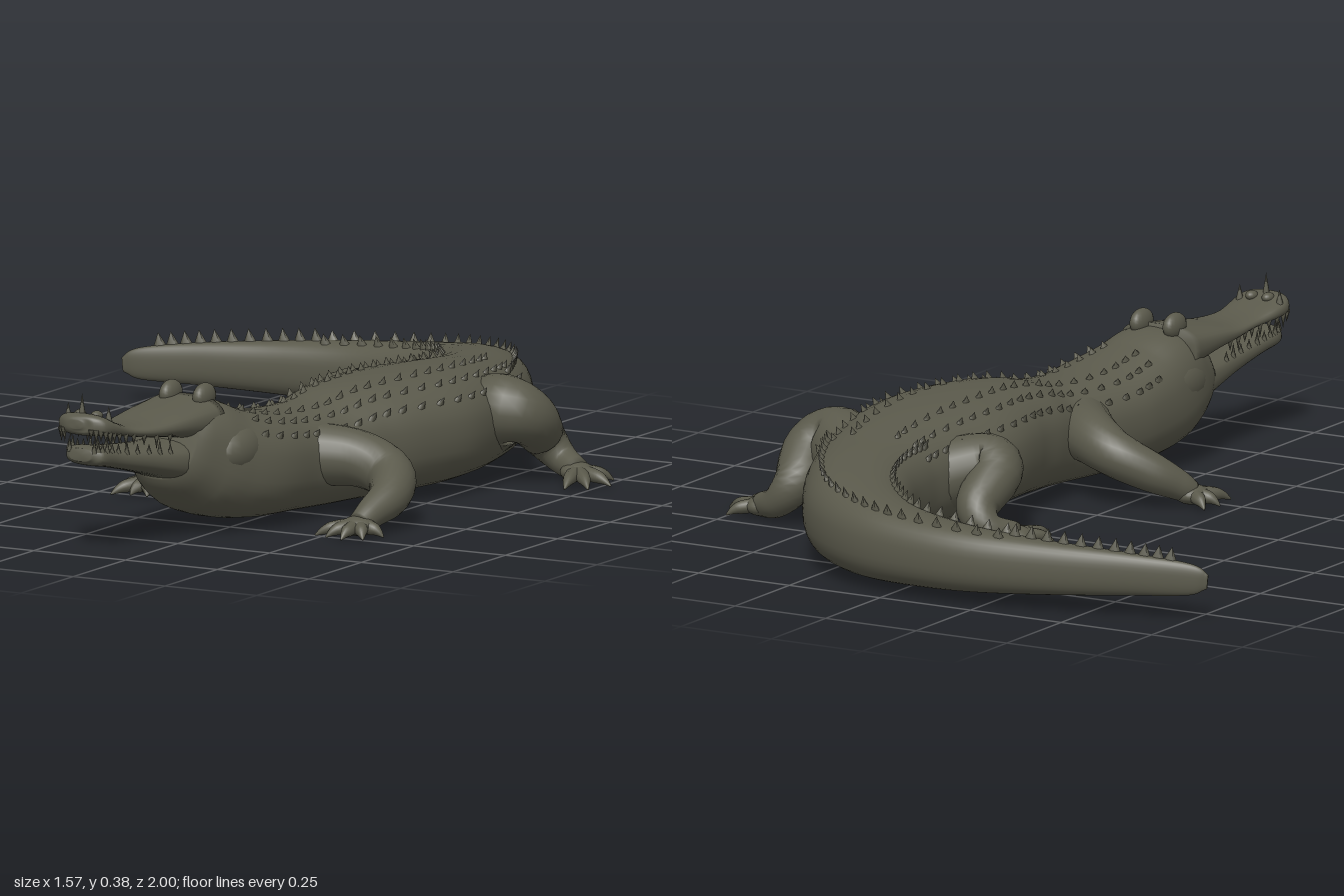
import * as THREE from 'three';
import { mergeGeometries } from 'three/addons/utils/BufferGeometryUtils.js';

const hide = new THREE.MeshStandardMaterial({ color: 0x5a594b });
hide.name = 'olive hide';
const Y = new THREE.Vector3(0, 1, 0);

// Smooth surface through stations [x, y, z, halfWidth, halfHeight]; t runs 0..1 along it, a around it
function makeSurface(stations, power = 1) {
  const spine = new THREE.CatmullRomCurve3(stations.map(s => new THREE.Vector3(s[0], s[1], s[2])), false, 'catmullrom', 0.5);
  const sizes = new THREE.CatmullRomCurve3(stations.map(s => new THREE.Vector3(s[3], s[4], 0)), false, 'catmullrom', 0.5);
  const bend = v => Math.sign(v) * Math.abs(v) ** power;
  return (t, a) => {
    const centre = spine.getPoint(t), size = sizes.getPoint(t), along = spine.getTangent(t);
    const side = new THREE.Vector3().crossVectors(along, Y).normalize();
    const up = new THREE.Vector3().crossVectors(side, along);
    const point = centre.clone()
      .addScaledVector(side, Math.max(size.x, 0.002) * bend(Math.cos(a)))
      .addScaledVector(up, Math.max(size.y, 0.002) * bend(Math.sin(a)));
    return { point, centre, along, side, up };
  };
}

// Closed skin over a surface
function loft(surface, rings, sides) {
  const pos = [], idx = [];
  for (let i = 0; i <= rings; i++)
    for (let j = 0; j < sides; j++) pos.push(...surface(i / rings, j / sides * Math.PI * 2).point.toArray());
  const start = pos.length / 3;
  pos.push(...surface(0, 0).centre.toArray(), ...surface(1, 0).centre.toArray());
  for (let j = 0; j < sides; j++) {
    const k = (j + 1) % sides, last = rings * sides;
    for (let i = 0; i < rings; i++) {
      const a = i * sides + j, b = i * sides + k;
      idx.push(a, a + sides, b, b, a + sides, b + sides);
    }
    idx.push(start, j, k, start + 1, last + k, last + j);
  }
  const g = new THREE.BufferGeometry();
  g.setAttribute('position', new THREE.Float32BufferAttribute(pos, 3));
  g.setIndex(idx);
  g.computeVertexNormals();
  return g;
}

// Convert [x, z, halfWidth, bottom, top] to a station
const fromHeights = ([x, z, w, b, t]) => [x, (b + t) / 2, z, w, (t - b) / 2];

const BODY = [
  [.172, .68, .10, .14, .312], [.18, .645, .118, .095, .325], [.19, .59, .135, .055, .325], [.205, .52, .15, .028, .297],
  [.23, .42, .162, .015, .27], [.25, .3, .155, .012, .255], [.28, .18, .152, .01, .258], [.30, .08, .172, .01, .278],
  [.32, -.02, .198, .01, .286], [.332, -.15, .22, .01, .286], [.337, -.28, .205, .01, .28], [.327, -.42, .175, .01, .268],
  [.31, -.52, .155, .01, .258], [.27, -.64, .138, .01, .248], [.2, -.76, .127, .012, .233], [.1, -.85, .11, .015, .215],
  [-.02, -.9, .09, .02, .198], [-.2, -.922, .068, .027, .182], [-.4, -.9, .045, .038, .168], [-.6, -.853, .027, .05, .153],
  [-.74, -.81, .014, .058, .135], [-.782, -.796, .004, .075, .11]].map(fromHeights);

const UPPER_JAW = [
  [.178, .58, .11, .22, .33], [.167, .7, .1, .245, .312], [.152, .8, .083, .26, .297], [.135, .87, .07, .272, .302],
  [.122, .93, .076, .28, .322], [.117, .97, .07, .285, .338], [.115, .992, .045, .293, .336], [.115, 1, .015, .305, .325]].map(fromHeights);

const LOWER_JAW = [
  [.18, .58, .1, .1, .24], [.167, .7, .095, .145, .235], [.15, .8, .078, .175, .24],
  [.13, .9, .062, .2, .25], [.12, .96, .056, .212, .26], [.118, .985, .03, .225, .255]].map(fromHeights);

// Legs as [x, y, z, radius], and toes as tip points [x, z]
const LEGS = {
  leftFrontLeg: {
    path: [[.33, .15, .28, .08], [.45, .145, .245, .068], [.545, .115, .255, .06], [.587, .08, .33, .05], [.582, .05, .41, .037], [.575, .03, .455, .028]],
    toes: [[.49, .515], [.525, .525], [.575, .54], [.62, .515], [.645, .46]] },
  rightFrontLeg: {
    path: [[.18, .15, .22, .08], [.1, .15, .145, .066], [.02, .125, .115, .056], [-.06, .085, .145, .048], [-.11, .052, .185, .037], [-.135, .03, .21, .028]],
    toes: [[-.2, .16], [-.21, .215], [-.195, .29], [-.15, .275], [-.105, .275]] },
  leftHindLeg: {
    path: [[.43, .14, -.38, .1], [.53, .18, -.315, .085], [.582, .16, -.345, .068], [.575, .1, -.43, .053], [.615, .05, -.445, .038], [.675, .03, -.415, .03]],
    toes: [[.745, -.465], [.78, -.39], [.755, -.325], [.705, -.3]] },
  rightHindLeg: {
    path: [[.23, .14, -.37, .09], [.125, .17, -.3, .075], [.09, .15, -.325, .064], [.085, .095, -.41, .052], [.045, .05, -.425, .038], [0, .03, -.375, .03]],
    toes: [[-.06, -.37], [-.06, -.3], [-.02, -.245], [.03, -.27]] },
};

// Keeled scale standing on a surface
function scute(surface, t, a, height, wide, long) {
  const f = surface(t, a);
  const out = f.point.clone().sub(f.centre).normalize().lerp(Y, 0.5).normalize();
  const side = new THREE.Vector3().crossVectors(f.along, out).normalize();
  const along = new THREE.Vector3().crossVectors(side, out);
  const g = new THREE.ConeGeometry(1, 1, 6).translate(0, 0.32, 0);
  // tip leans towards the tail
  g.applyMatrix4(new THREE.Matrix4().makeShear(0, 0, 0, -0.3, 0, 0));
  g.scale(wide, height * 1.25, long);
  return g.applyMatrix4(new THREE.Matrix4().makeBasis(side, out, along).setPosition(f.point));
}

// Row of teeth following both edges of a jaw
function teeth(surface, dir, from, to, count) {
  const list = [];
  for (let i = 0; i < count; i++) for (const s of [0, Math.PI]) {
    const p = surface(from + (to - from) * i / (count - 1), s + (s ? 1 : -1) * dir * -0.55).point;
    const h = 0.026 + 0.012 * (i % 3 === 1);
    const g = new THREE.ConeGeometry(0.0065, h, 6);
    if (dir < 0) g.rotateX(Math.PI);
    list.push(g.translate(p.x, p.y + dir * h * 0.35, p.z));
  }
  return list;
}

function ball(x, y, z, rx, ry, rz) {
  return new THREE.SphereGeometry(1, 20, 14).scale(rx, ry, rz).translate(x, y, z);
}

export function createModel() {
  const model = new THREE.Group();
  model.name = 'crocodile';
  const add = (name, geometry, parent = model) => {
    const mesh = new THREE.Mesh(geometry, hide);
    mesh.name = name;
    parent.add(mesh);
  };

  // Trunk, neck and curved tail
  const body = makeSurface(BODY, 0.82);
  add('bodyAndTail', loft(body, 130, 36));

  // Head
  const upper = makeSurface(UPPER_JAW, 0.75), lower = makeSurface(LOWER_JAW, 0.75);
  add('upperJaw', loft(upper, 40, 28));
  add('lowerJaw', loft(lower, 36, 28));
  add('upperTeeth', mergeGeometries(teeth(upper, -1, 0.22, 0.86, 12)));
  add('lowerTeeth', mergeGeometries(teeth(lower, 1, 0.3, 0.94, 11)));
  add('frontFangs', mergeGeometries([[.112, .355, .965, .06], [.06, .335, .94, .04], [.17, .335, .94, .04]]
    .map(([x, y, z, h]) => new THREE.ConeGeometry(0.01, h, 8).translate(x, y, z))));
  add('eyeRidges', mergeGeometries([.137, .228].map(x => ball(x, .328, .585, .022, .032, .042))));
  add('nostrils', mergeGeometries([.095, .14].map(x => ball(x, .33, .945, .014, .012, .018))));
  add('jowls', mergeGeometries([ball(.1, .2, .56, .045, .06, .09), ball(.29, .2, .54, .06, .065, .1)]));

  // Scales on the back, placed by station number
  const last = BODY.length - 1, mid = Math.PI / 2;
  const back = [], crest = [];
  for (let k = 3.2; k < 12; k += 0.42)
    for (const off of [0.28, 0.62, 0.98]) for (const s of [-1, 1])
      back.push(scute(body, (k + off * 0.2) / last, mid + s * off, k < 6.5 ? 0.014 : 0.017, 0.008, 0.014));
  add('backScales', mergeGeometries(back));

  // Twin tail crests that join into one
  for (let k = 11.5; k < 17.6; k += 0.27) for (const s of [-1, 1])
    crest.push(scute(body, k / last, mid + s * (0.75 - (k - 11.5) * 0.07), 0.024, 0.008, 0.017));
  for (let k = 17.6; k < 19.7; k += 0.2) crest.push(scute(body, k / last, mid, 0.03, 0.007, 0.018));
  add('tailCrest', mergeGeometries(crest));

  // Legs with flat feet and clawed toes
  for (const [name, { path, toes }] of Object.entries(LEGS)) {
    const leg = new THREE.Group();
    leg.name = name;
    model.add(leg);
    add('limb', loft(makeSurface(path.map(p => [...p, p[3]])), 32, 20), leg);
    const [x, y, z] = path[path.length - 1];
    add('foot', ball(x, y - 0.003, z, 0.042, 0.024, 0.042), leg);
    add('toes', mergeGeometries(toes.map(([tx, tz]) => loft(makeSurface([
      [x, y, z, 0.02, 0.018],
      [x + (tx - x) * 0.55, 0.024, z + (tz - z) * 0.55, 0.017, 0.016],
      [x + (tx - x) * 0.78, 0.018, z + (tz - z) * 0.78, 0.011, 0.011],
      [tx, 0.006, tz, 0.002, 0.002]]), 12, 10))), leg);
  }
  return model;
}
